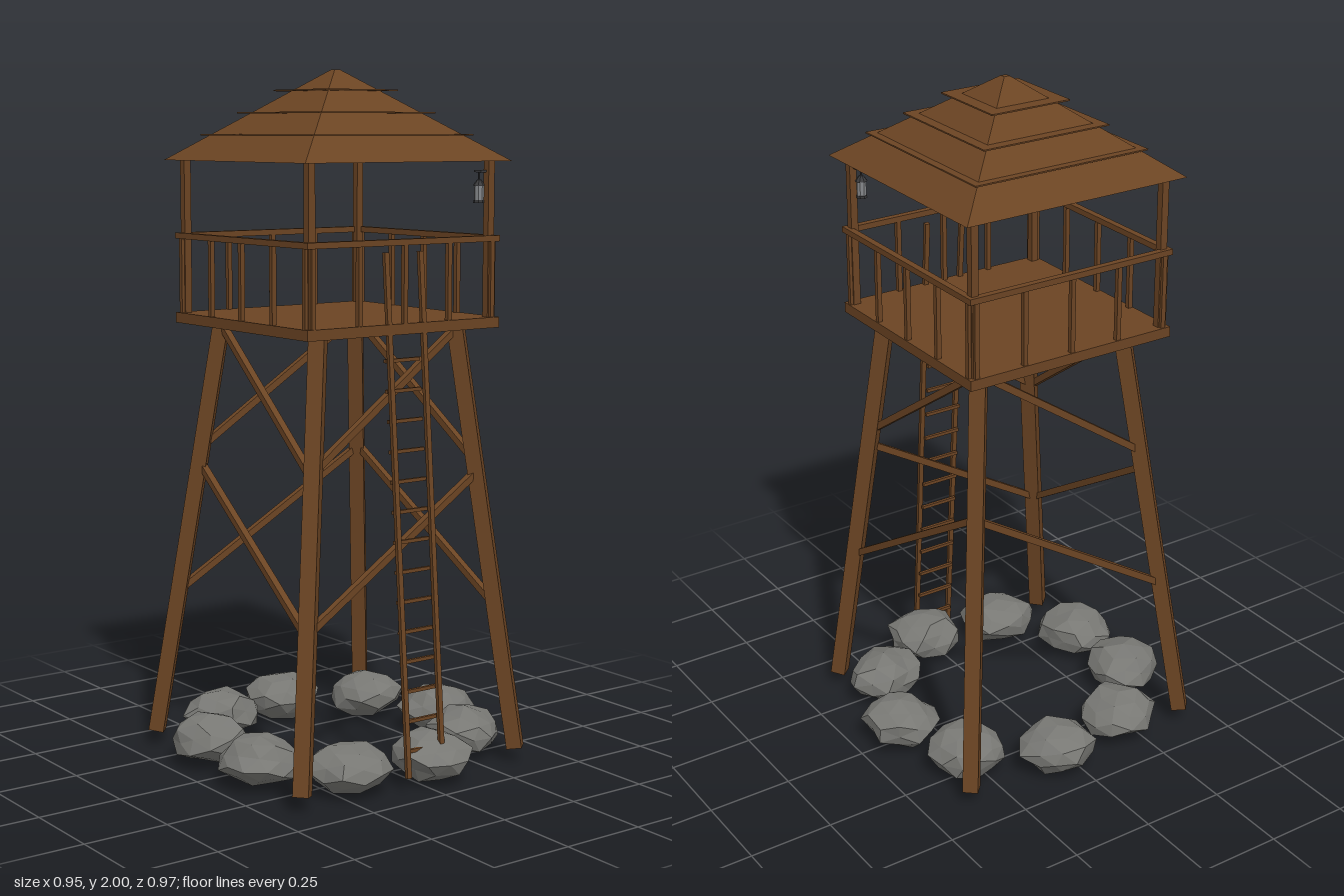
import * as THREE from 'three';
import { mergeVertices } from 'three/addons/utils/BufferGeometryUtils.js';

const flat = (name, color) => {
  const m = new THREE.MeshStandardMaterial({ color, flatShading: true });
  m.name = name;
  return m;
};

export function createModel() {
  const wood = flat('wood', 0x6b4423);
  const stone = flat('stone', 0x787874);
  const metal = flat('dark metal', 0x3a3a3c);
  const glass = flat('lantern glass', 0x85878a);

  const model = new THREE.Group();
  model.name = 'watchtower';
  const tower = new THREE.Group();
  tower.name = 'tower';
  tower.position.x = -0.015;
  model.add(tower);

  const add = (name, geo, mat, x = 0, y = 0, z = 0) => {
    const m = new THREE.Mesh(geo, mat);
    m.name = name;
    m.position.set(x, y, z);
    tower.add(m);
    return m;
  };
  const box = (name, w, h, d, x, y, z) => add(name, new THREE.BoxGeometry(w, h, d), wood, x, y, z);
  // Square beam between two points
  const beam = (name, a, b, w) => {
    const p = new THREE.Vector3(...a), q = new THREE.Vector3(...b);
    const m = box(name, w, w, p.distanceTo(q), 0, 0, 0);
    m.position.copy(p).add(q).multiplyScalar(0.5);
    m.lookAt(q.clone().sub(p).add(m.position));
    return m;
  };

  // Splayed legs
  const legAt = y => 0.38 - (y - 0.045) * 0.1125;
  for (const sx of [-1, 1]) for (const sz of [-1, 1]) {
    const lo = legAt(0.045), hi = legAt(1.285);
    beam('leg', [sx * lo, 0.045, sz * lo], [sx * hi, 1.285, sz * hi], 0.045);
    box('roofPost', 0.022, 0.46, 0.022, sx * 0.31, 1.525, sz * 0.31);
  }

  // Diagonal braces on all four sides
  for (const [y0, y1] of [[0.475, 0.86], [0.905, 1.272]]) {
    const a = legAt(y0), b = legAt(y1);
    for (const s of [-1, 1]) {
      beam('brace', [-a, y0, s * a], [b, y1, s * b], 0.02);
      beam('brace', [s * a, y0, a], [s * b, y1, -b], 0.02);
    }
  }

  // Deck and railing
  box('deck', 0.666, 0.03, 0.666, 0, 1.29, 0);
  for (const s of [-1, 1]) {
    box('rail', 0.666, 0.017, 0.02, 0, 1.528, s * 0.323);
    box('rail', 0.02, 0.017, 0.666, s * 0.323, 1.528, 0);
    for (const t of [-0.31, -0.155, 0, 0.155, 0.31]) {
      box('baluster', 0.014, 0.225, 0.014, t, 1.412, s * 0.323);
      box('baluster', 0.014, 0.225, 0.014, s * 0.323, 1.412, t);
    }
  }

  // Pyramid roof with thin shingle ledges
  const roof = add('roof', new THREE.CylinderGeometry(0.009 * Math.SQRT2, 0.355 * Math.SQRT2, 0.255, 4), wood, 0, 1.8725, 0);
  roof.rotation.y = Math.PI / 4;
  for (const [half, y] of [[0.278, 1.817], [0.202, 1.879], [0.126, 1.942]])
    box('roofLedge', half * 2, 0.004, half * 2, 0, y, 0);

  // Leaning ladder
  const ladderZ = y => 0.438 - (y - 0.05) * 0.0915;
  for (const x of [-0.06, 0.06])
    beam('ladderRail', [x, 0.05, ladderZ(0.05)], [x, 1.5, ladderZ(1.5)], 0.014);
  for (let i = 0; i < 14; i++) {
    const y = 0.117 + i * 0.0835;
    box('ladderRung', 0.12, 0.01, 0.01, 0, y, ladderZ(y) - 0.02);
  }

  // Lantern hanging beside the front post
  const lx = 0.29, lz = 0.29;
  add('lanternGlass', new THREE.CylinderGeometry(0.014, 0.014, 0.042, 8), glass, lx, 1.655, lz);
  add('lanternBase', new THREE.CylinderGeometry(0.016, 0.016, 0.008, 8), metal, lx, 1.631, lz);
  add('lanternCap', new THREE.CylinderGeometry(0.006, 0.018, 0.016, 8), metal, lx, 1.684, lz);
  add('lanternHook', new THREE.CylinderGeometry(0.003, 0.003, 0.025, 6), metal, lx, 1.704, lz);
  add('lanternArm', new THREE.BoxGeometry(0.03, 0.006, 0.03), metal, lx + 0.005, 1.716, lz + 0.005);

  // Ring of rough boulders
  let seed = 11;
  const rand = () => (seed = (seed * 16807) % 2147483647) / 2147483647;
  for (let i = 0; i < 9; i++) {
    const a = i * Math.PI * 2 / 9;
    let geo = new THREE.IcosahedronGeometry(1, 1);
    geo.deleteAttribute('normal');
    geo.deleteAttribute('uv');
    geo = mergeVertices(geo, 1e-3);
    const p = geo.attributes.position;
    for (let k = 0; k < p.count; k++) {
      const f = 0.85 + rand() * 0.25;
      p.setXYZ(k, p.getX(k) * f, p.getY(k) * f, p.getZ(k) * f);
    }
    geo.rotateY(rand() * 6);
    geo.scale(0.112, 0.07, 0.118);
    geo.computeVertexNormals();
    const rock = add('boulder', geo, stone, Math.cos(a) * 0.38, 0.077, Math.sin(a) * 0.38);
    rock.rotation.y = -a;
  }
  return model;
}
